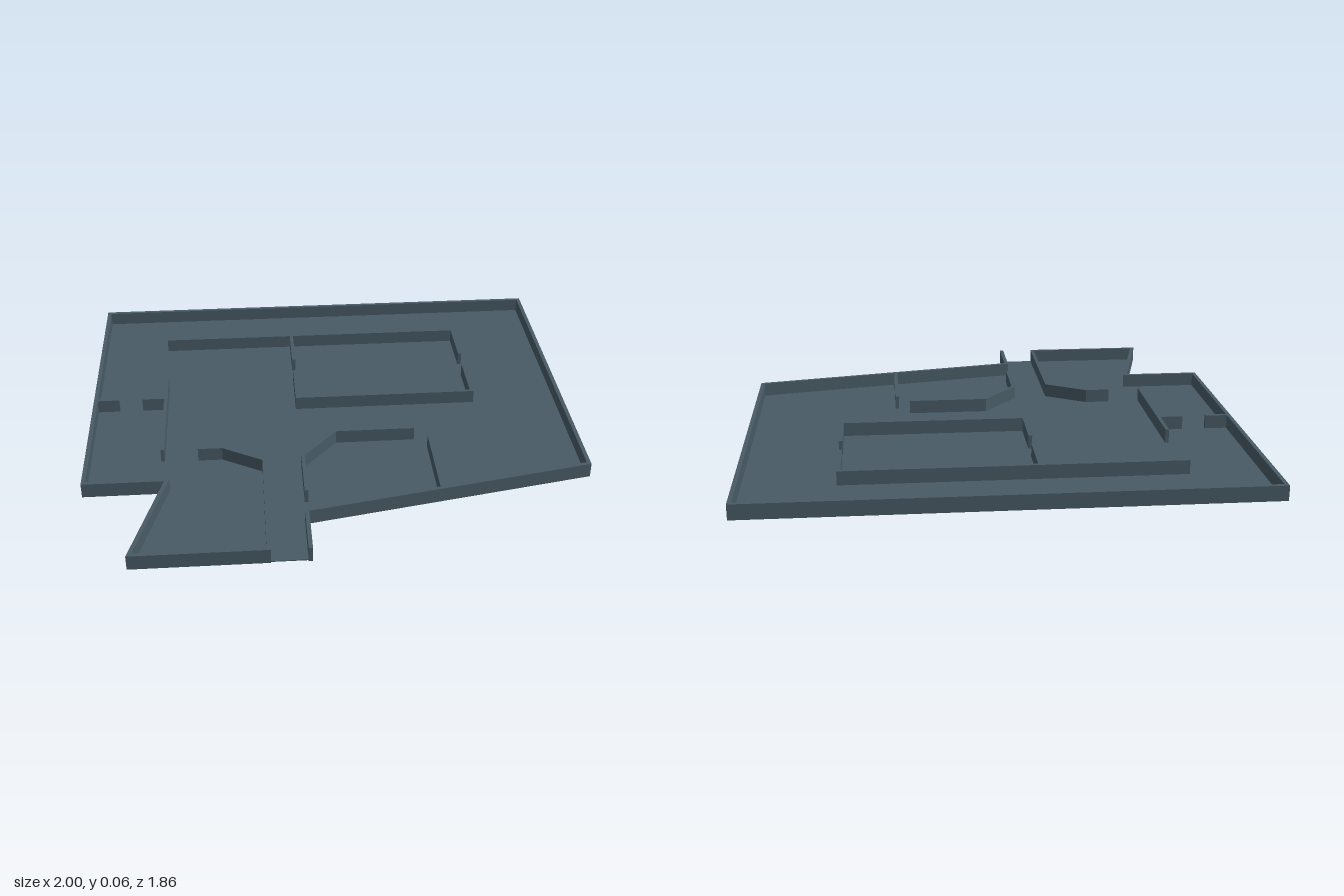
import * as THREE from 'three';

const HEIGHT = 0.06, THICK = 0.015, FLOOR = 0.004;

// Extrude a plan polygon of [x, z] points upwards from y = 0
function extrudePlan(points, height) {
  const shape = new THREE.Shape(points.map(([x, z]) => new THREE.Vector2(x, -z)));
  const geometry = new THREE.ExtrudeGeometry(shape, { depth: height, bevelEnabled: false });
  return geometry.rotateX(-Math.PI / 2);
}

// Offset an open polyline sideways, with mitred corners
function offsetLine(points, distance) {
  const normals = points.slice(1).map(([x, z], i) => {
    const dx = x - points[i][0], dz = z - points[i][1], l = Math.hypot(dx, dz);
    return [-dz / l, dx / l];
  });
  return points.map(([x, z], i) => {
    const a = normals[Math.max(i - 1, 0)], b = normals[Math.min(i, normals.length - 1)];
    const k = distance / (1 + a[0] * b[0] + a[1] * b[1]);
    return [x + (a[0] + b[0]) * k, z + (a[1] + b[1]) * k];
  });
}

export function createModel() {
  const model = new THREE.Group();
  model.name = 'floorPlan';
  const slate = new THREE.MeshStandardMaterial({ color: 0x485a65 });
  slate.name = 'slate';

  function add(name, geometry) {
    const mesh = new THREE.Mesh(geometry, slate);
    mesh.name = name;
    model.add(mesh);
  }
  function wall(name, points, from = -THICK / 2, to = THICK / 2) {
    const outline = [...offsetLine(points, from), ...offsetLine(points, to).reverse()];
    add(name, extrudePlan(outline, HEIGHT));
  }

  // Building outline, from one side of the doorway round to the other
  const outline = [
    [-0.13, 0.925], [-0.13, 0.71], [1, 0.488], [1, -0.93], [-1, -0.93],
    [-1, 0.48], [-0.68, 0.48], [-0.8, 0.925],
  ];
  add('floor', extrudePlan(outline, FLOOR));
  const rim = outline.map(([x, z]) => [x, z === 0.925 ? 0.93 : z]);
  wall('outerWall', [...rim, [-0.282, 0.93]], -0.016, 0);

  // Central room with two facing door gaps
  wall('centralRoomBackWall', [[-0.705, -0.64], [0.622, -0.64], [0.622, -0.415]]);
  wall('centralRoomSideWall', [[-0.133, -0.64], [-0.133, -0.415]]);
  wall('centralRoomFrontWall', [[-0.133, -0.32], [-0.133, -0.096], [0.622, -0.096], [0.622, -0.32]]);

  // Side rooms with a door gap between the stubs
  wall('sidePartition', [[-0.695, -0.297], [-0.695, 0.265]]);
  wall('sideStubOuter', [[-0.99, -0.132], [-0.893, -0.132]]);
  wall('sideStubInner', [[-0.795, -0.132], [-0.695, -0.132]]);

  // Angled partitions flanking the entrance hall
  wall('entranceRightPartition', [[-0.553, 0.262], [-0.453, 0.262], [-0.289, 0.36], [-0.289, 0.925]]);
  wall('entranceLeftPartition', [[-0.133, 0.58], [-0.133, 0.34], [0.008, 0.174], [0.335, 0.174]]);
  wall('frontRoomPartition', [[0.39, 0.238], [0.39, 0.598]]);

  return model;
}
